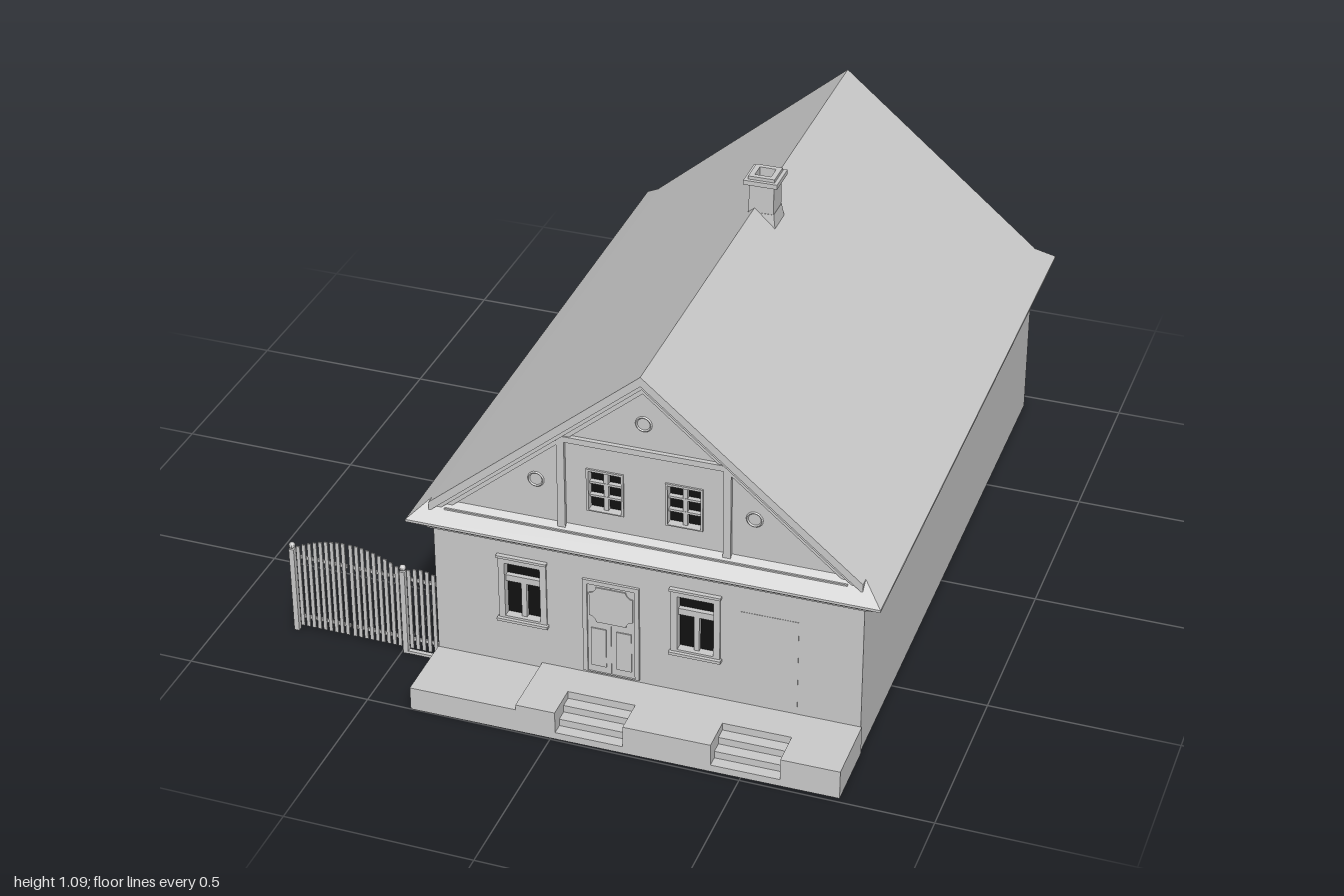
import * as THREE from 'three';

const grey = new THREE.MeshStandardMaterial({ color: 0xcccccc, flatShading: true, side: THREE.DoubleSide });
const dark = new THREE.MeshStandardMaterial({ color: 0x111111, side: THREE.DoubleSide });

// House plan: wall rectangle, ridge line and slopes
const X0 = -0.39, X1 = 0.74, Z0 = -0.94, Z1 = 0.805, CX = 0.175;
const EAVE = 0.526, RIDGE = 1.0, T = 0.04;

function add(parent, name, geometry, material = grey) {
  const mesh = new THREE.Mesh(geometry, material);
  mesh.name = name;
  parent.add(mesh);
  return mesh;
}

// Box given by its limits on each axis
function block(parent, name, x0, x1, y0, y1, z0, z1, material) {
  const mesh = add(parent, name, new THREE.BoxGeometry(x1 - x0, y1 - y0, z1 - z0), material);
  mesh.position.set((x0 + x1) / 2, (y0 + y1) / 2, (z0 + z1) / 2);
  return mesh;
}

function group(parent, name, x = 0, y = 0, z = 0) {
  const g = new THREE.Group();
  g.name = name;
  g.position.set(x, y, z);
  parent.add(g);
  return g;
}

const polygon = (pts) => new THREE.Shape(pts.map(([x, y]) => new THREE.Vector2(x, y)));
const rect = (x0, x1, y0, y1) => polygon([[x0, y0], [x1, y0], [x1, y1], [x0, y1]]);

function slab(parent, name, shape, z0, z1) {
  const g = new THREE.ExtrudeGeometry(shape, { depth: z1 - z0, bevelEnabled: false, curveSegments: 6 });
  return add(parent, name, g.translate(0, 0, z0));
}

// Profile of [outward offset, y] swept round the wall rectangle with mitred corners
function rectSweep(profile) {
  const corner = (o, k) => [[X0 - o, Z1 + o], [X1 + o, Z1 + o], [X1 + o, Z0 - o], [X0 - o, Z0 - o]][k % 4];
  const pos = [];
  for (let k = 0; k < 4; k++) {
    for (let i = 0; i < profile.length - 1; i++) {
      const [a, b, c, d] = [[i, k], [i, k + 1], [i + 1, k + 1], [i + 1, k]].map(([p, q]) => {
        const [x, z] = corner(profile[p][0], q);
        return [x, profile[p][1], z];
      });
      pos.push(...a, ...b, ...c, ...a, ...c, ...d);
    }
  }
  const g = new THREE.BufferGeometry();
  g.setAttribute('position', new THREE.Float32BufferAttribute(pos, 3));
  g.computeVertexNormals();
  return g;
}

// Inverted V band following the roof slope, between two drops below the roof surface
function chevron(top, bottom) {
  return polygon([[X0, EAVE - top], [X0, EAVE - bottom], [CX, RIDGE - bottom],
    [X1, EAVE - bottom], [X1, EAVE - top], [CX, RIDGE - top]]);
}

// Window with casing, dark glass and glazing bars; facing +z at the wall face
function window_(parent, cx, y0, w, h, vBars, hBars, casing) {
  const g = group(parent, 'window', cx, y0, 0);
  const a = w / 2, c = casing;
  block(g, 'glass', -a, a, 0, h, -0.022, -0.018, dark);
  for (const [x, half, b, t] of vBars) block(g, 'glazingBar', x - half, x + half, b, t, -0.024, -0.006);
  for (const [y, half] of hBars) block(g, 'glazingBar', -a, a, y - half, y + half, -0.024, -0.005);
  const ring = rect(-a - c, a + c, -c * 0.5, h + c);
  ring.holes.push(rect(-a, a, 0, h));
  slab(g, 'casing', ring, -0.07, 0.005);
  if (c > 0.01) {
    block(g, 'sill', -a - c - 0.004, a + c + 0.004, -0.014, -0.006, -0.01, 0.014);
    block(g, 'hood', -a - c - 0.003, a + c + 0.003, h + c, h + c + 0.007, -0.01, 0.012);
  }
}

const bigWindow = (parent, cx) =>
  window_(parent, cx, 0.21, 0.095, 0.16, [[0, 0.007, 0, 0.11]], [[0.11, 0.009]], 0.017);
const atticWindow = (parent, cx) =>
  window_(parent, cx, 0.58, 0.085, 0.112, [[0, 0.006, 0, 0.112]], [[0.037, 0.003], [0.075, 0.003]], 0.006);

// Double door with a scooped-corner upper panel and plain lower panels
function door(parent, cx, y0, y1, w) {
  const g = group(parent, 'door', cx, 0, 0), a = w / 2;
  const ring = rect(-a, a, y0, y1);
  ring.holes.push(rect(-a + 0.012, a - 0.012, y0, y1 - 0.012));
  slab(g, 'doorFrame', ring, -0.07, 0.007);
  block(g, 'doorLeaf', -a, -0.001, y0, y1 - 0.002, -0.05, 0.002);
  block(g, 'doorLeaf', 0.001, a, y0, y1 - 0.002, -0.05, 0.002);
  const p = a - 0.017, b = y1 - 0.125, t = y1 - 0.02, r = 0.018;
  const panel = new THREE.Shape();
  panel.moveTo(-p + r, b).lineTo(p - r, b);
  panel.absarc(p, b, r, Math.PI, Math.PI / 2, true);
  panel.absarc(p, t, r, -Math.PI / 2, -Math.PI, true);
  panel.absarc(-p, t, r, 0, -Math.PI / 2, true);
  panel.absarc(-p, b, r, Math.PI / 2, 0, true);
  slab(g, 'upperPanel', panel, 0, 0.005);
  for (const s of [-1, 1]) {
    const x = s * a * 0.45;
    block(g, 'lowerPanel', x - 0.02, x + 0.02, y0 + 0.02, b - 0.02, 0, 0.005);
  }
}

function gablePoints() {
  const d = 0.015;
  return [[X0, 0], [X1, 0], [X1, EAVE - d], [CX, RIDGE - d], [X0, EAVE - d]];
}

function buildFront(house) {
  const g = group(house, 'frontWall', 0, 0, Z1);
  const big = [-0.152, 0.308], attic = [0.073, 0.278];
  const shape = polygon(gablePoints());
  for (const x of big) shape.holes.push(rect(x - 0.0475, x + 0.0475, 0.21, 0.37));
  for (const x of attic) shape.holes.push(rect(x - 0.0425, x + 0.0425, 0.58, 0.692));
  slab(g, 'gableWall', shape, -T, 0);
  big.forEach((x) => bigWindow(g, x));
  attic.forEach((x) => atticWindow(g, x));
  door(g, 0.085, 0.09, 0.37, 0.15);
  block(g, 'secondDoor', 0.425, 0.575, 0.09, 0.36, -0.07, 0.001);
  // Timber trim on the gable
  for (const s of [-1, 1]) {
    const x = CX + s * 0.215;
    block(g, 'gablePost', x - 0.01, x + 0.01, 0.51, 0.77, 0, 0.01);
  }
  block(g, 'gableBeam', CX - 0.235, CX + 0.235, 0.768, 0.784, 0, 0.012);
  block(g, 'gableSill', X0 + 0.04, X1 - 0.04, 0.5, 0.513, 0, 0.02);
  for (const [x, y] of [[CX, 0.855], [CX - 0.283, 0.64], [CX + 0.283, 0.64]]) {
    add(g, 'roundVentRim', new THREE.TorusGeometry(0.019, 0.003, 4, 20)).position.set(x, y, 0.002);
    const disc = add(g, 'roundVent', new THREE.CylinderGeometry(0.018, 0.018, 0.06, 20).rotateX(Math.PI / 2));
    disc.position.set(x, y, -0.028);
  }
}

function buildLeftSide(house) {
  const g = group(house, 'entranceSideWall', X0, 0, 0);
  g.rotation.y = -Math.PI / 2; // local x runs along z, local z points out to -x
  const shape = rect(Z0 + T, Z1 - T, 0, EAVE - 0.015), spots = [-0.66, 0.1, 0.59];
  for (const u of spots) shape.holes.push(rect(u - 0.0475, u + 0.0475, 0.21, 0.37));
  slab(g, 'sideWall', shape, -T, 0);
  spots.forEach((u) => bigWindow(g, u));
  door(g, -0.275, 0.06, 0.37, 0.13);
  block(g, 'sideStep', -0.35, -0.2, 0, 0.028, 0, 0.102);
  block(g, 'sideStep', -0.35, -0.2, 0.028, 0.056, 0, 0.06);
}

function buildRoof(house) {
  const g = group(house, 'roof');
  slab(g, 'roofSlopes', chevron(0, 0.026), Z0 - 0.003, 0.83);
  slab(g, 'rakeBoard', chevron(0.02, 0.04), Z1 - 0.01, 0.821);
  slab(g, 'rakeMoulding', chevron(0.035, 0.056), Z1 - 0.01, 0.813);
  add(g, 'corniceAndSkirt', rectSweep([[-0.01, 0.44], [0.012, 0.44], [0.012, 0.45], [0.026, 0.453],
    [0.026, 0.463], [0.04, 0.466], [0.053, 0.474], [0.053, 0.481], [0, EAVE]]));
}

function buildChimney(house) {
  const g = group(house, 'chimney', 0.193, 0, -0.105);
  const tube = (name, half, y0, y1) => {
    const s = rect(-half, half, -half, half);
    s.holes.push(rect(-0.022, 0.022, -0.022, 0.022));
    slab(g, name, s, y0, y1).rotation.x = -Math.PI / 2;
  };
  const base = new THREE.CylinderGeometry(0.035 * Math.SQRT2, 0.041 * Math.SQRT2, 0.04, 4).rotateY(Math.PI / 4);
  add(g, 'chimneyBase', base).position.y = 0.968;
  tube('chimneyShaft', 0.034, 0.985, 1.07);
  tube('chimneyCap', 0.046, 1.07, 1.083);
  tube('chimneyRim', 0.036, 1.083, 1.092);
}

function buildTerrace(house) {
  const g = group(house, 'terrace');
  const steps = [[0, 0.18], [0.41, 0.59]], back = 0.9, front = 0.995;
  const outline = [[-0.105, -Z1], [-0.105, -front]];
  for (const [a, b] of steps) outline.push([a, -front], [a, -back], [b, -back], [b, -front]);
  outline.push([0.743, -front], [0.743, -Z1]);
  slab(g, 'terraceFloor', polygon(outline), 0, 0.081).rotation.x = -Math.PI / 2;
  block(g, 'lowTerrace', -0.392, -0.105, 0, 0.066, Z1, front);
  for (const [a, b] of steps) {
    for (let i = 0; i < 3; i++) {
      block(g, 'step', a, b, 0, 0.06 - i * 0.02, back + i * 0.032, i === 2 ? front : back + (i + 1) * 0.032);
    }
  }
}

// Picket gate leaf with a curved top
function gateLeaf(parent, name, x0, x1, yEnd, yMid) {
  const g = group(parent, name), n = Math.round((x1 - x0) / 0.0155), pitch = (x1 - x0) / n;
  for (let i = 0; i < n; i++) {
    const x = x0 + (i + 0.5) * pitch, u = (x - x0) / (x1 - x0) * 2 - 1;
    block(g, 'picket', x - 0.005, x + 0.005, 0.018, yMid - (yMid - yEnd) * u * u, 0, 0.004);
  }
  for (const y of [0.045, 0.232]) block(g, 'rail', x0, x1, y - 0.005, y + 0.005, -0.005, 0);
}

function buildGate(model) {
  const g = group(model, 'gate', 0, 0, 0.776);
  for (const x of [-0.8, -0.488]) {
    block(g, 'gatePost', x - 0.007, x + 0.007, 0, 0.255, -0.007, 0.007);
    add(g, 'finial', new THREE.SphereGeometry(0.009, 10, 8)).position.set(x, 0.265, 0);
  }
  block(g, 'wallPost', -0.392, -0.382, 0, 0.255, -0.006, 0.006);
  block(g, 'threshold', -0.488, -0.385, 0, 0.008, -0.006, 0.006);
  gateLeaf(g, 'leftLeaf', -0.79, -0.645, 0.262, 0.262);
  gateLeaf(g, 'rightLeaf', -0.64, -0.496, 0.262, 0.262);
  // Raise the double leaves into one shared arch
  for (const leaf of g.children.filter((c) => /Leaf$/.test(c.name))) {
    for (const p of leaf.children.filter((c) => c.name === 'picket')) {
      const u = (p.position.x + 0.643) / 0.147, top = 0.262 + 0.042 * (1 - u * u);
      p.scale.y = (top - 0.018) / 0.244;
      p.position.y = (top + 0.018) / 2;
    }
  }
  gateLeaf(g, 'wicket', -0.479, -0.394, 0.258, 0.27);
}

export function createModel() {
  const model = new THREE.Group();
  model.name = 'house';
  const house = group(model, 'building');
  house.rotation.y = 0.012;
  buildFront(house);
  buildLeftSide(house);
  slab(house, 'backWall', polygon(gablePoints()), Z0, Z0 + T);
  block(house, 'plainSideWall', X1 - T, X1, 0, EAVE - 0.015, Z0 + T, Z1 - T);
  buildRoof(house);
  buildChimney(house);
  buildTerrace(house);
  buildGate(model);
  return model;
}
